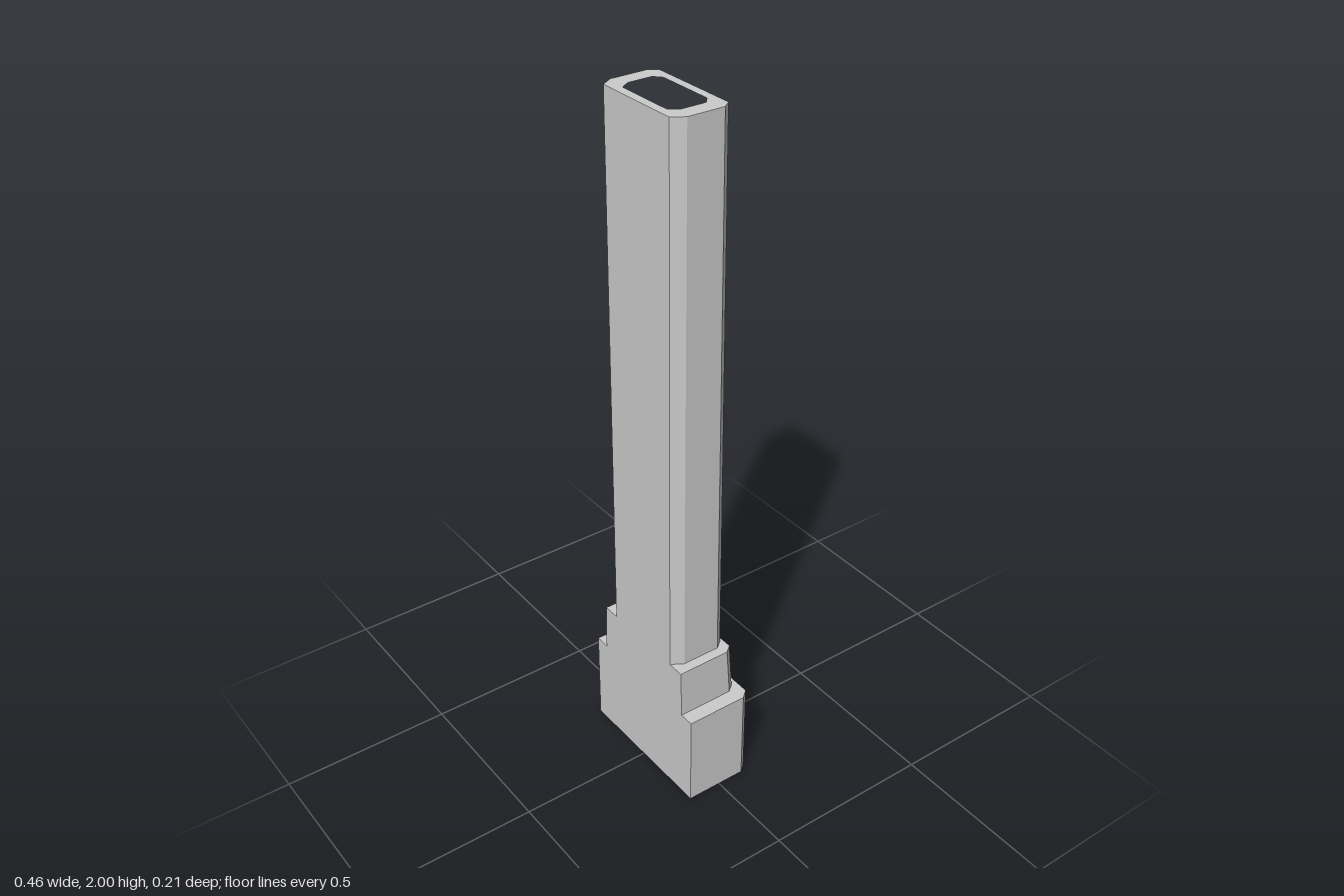
import * as THREE from 'three';

const FRONT = 0.102;
const material = new THREE.MeshStandardMaterial({ color: 0xcccccc, flatShading: true });

// Extrudes a plan outline of [x, z] points from y0 up to y1.
// The top leans in by taperX at the sides and taperZ at the back; the front stays vertical.
function block(name, plan, y0, y1, { hole = null, taperX = 0, taperZ = 0 } = {}) {
  const toPoints = (list) => list.map(([x, z]) => new THREE.Vector2(x, -z));
  const shape = new THREE.Shape(toPoints(plan));
  if (hole) shape.holes.push(new THREE.Path(toPoints(hole)));
  const geometry = new THREE.ExtrudeGeometry(shape, { depth: y1 - y0, bevelEnabled: false });
  geometry.rotateX(-Math.PI / 2).translate(0, y0, 0);
  if (taperX || taperZ) {
    const p = geometry.attributes.position;
    for (let i = 0; i < p.count; i++) {
      const t = (p.getY(i) - y0) / (y1 - y0);
      p.setX(i, p.getX(i) - Math.sign(p.getX(i)) * taperX * t);
      if (p.getZ(i) < 0) p.setZ(i, p.getZ(i) + taperZ * t);
    }
    geometry.computeVertexNormals();
  }
  const mesh = new THREE.Mesh(geometry, material);
  mesh.name = name;
  return mesh;
}

// Rectangle with chamfered back corners and, if fx is given, chamfered front corners
function chamferedPlan(w, back, front, bx, bz, fx = 0, fz = 0) {
  const half = [[w - bx, back], [w, back + bz]];
  if (fx) half.push([w, front - fz], [w - fx, front]);
  else half.push([w, front]);
  return [...half, ...half.map(([x, z]) => [-x, z]).reverse()];
}

export function createModel() {
  const group = new THREE.Group();
  group.name = 'chimney';

  // Hearth base: U-shaped walls around the firebox, closed by a slab above
  const openLeft = 0.12, openRight = -0.14, fireboxFront = 0.01, openTop = 0.2;
  const basePlan = chamferedPlan(0.228, -0.105, FRONT, 0.02, 0.024);
  const wallPlan = [
    ...basePlan,
    [openRight, -0.105], [openRight, fireboxFront],
    [openLeft, fireboxFront], [openLeft, -0.105],
  ];
  group.add(block('fireboxWalls', wallPlan, 0, openTop));
  group.add(block('baseTop', basePlan, openTop, 0.285));

  // Tapered shoulder
  const shoulderPlan = chamferedPlan(0.184, -0.087, FRONT, 0.018, 0.022);
  group.add(block('shoulder', shoulderPlan, 0.285, 0.43, { taperX: 0.004, taperZ: 0.008 }));

  // Tall stack, with the flue opening sunk into its top
  const flueFloor = 1.8, lean = 0.008;
  const stackPlan = (back) => chamferedPlan(0.15, back, FRONT, 0.018, 0.023, 0.021, 0.034);
  const share = (flueFloor - 0.43) / (2 - 0.43);
  group.add(block('stack', stackPlan(-0.069), 0.43, flueFloor, { taperZ: lean * share }));
  const flue = chamferedPlan(0.104, -0.038, 0.077, 0.02, 0.018, 0.017, 0.026);
  group.add(block('flueRim', stackPlan(-0.069 + lean * share), flueFloor, 2,
    { hole: flue, taperZ: lean * (1 - share) }));

  return group;
}
